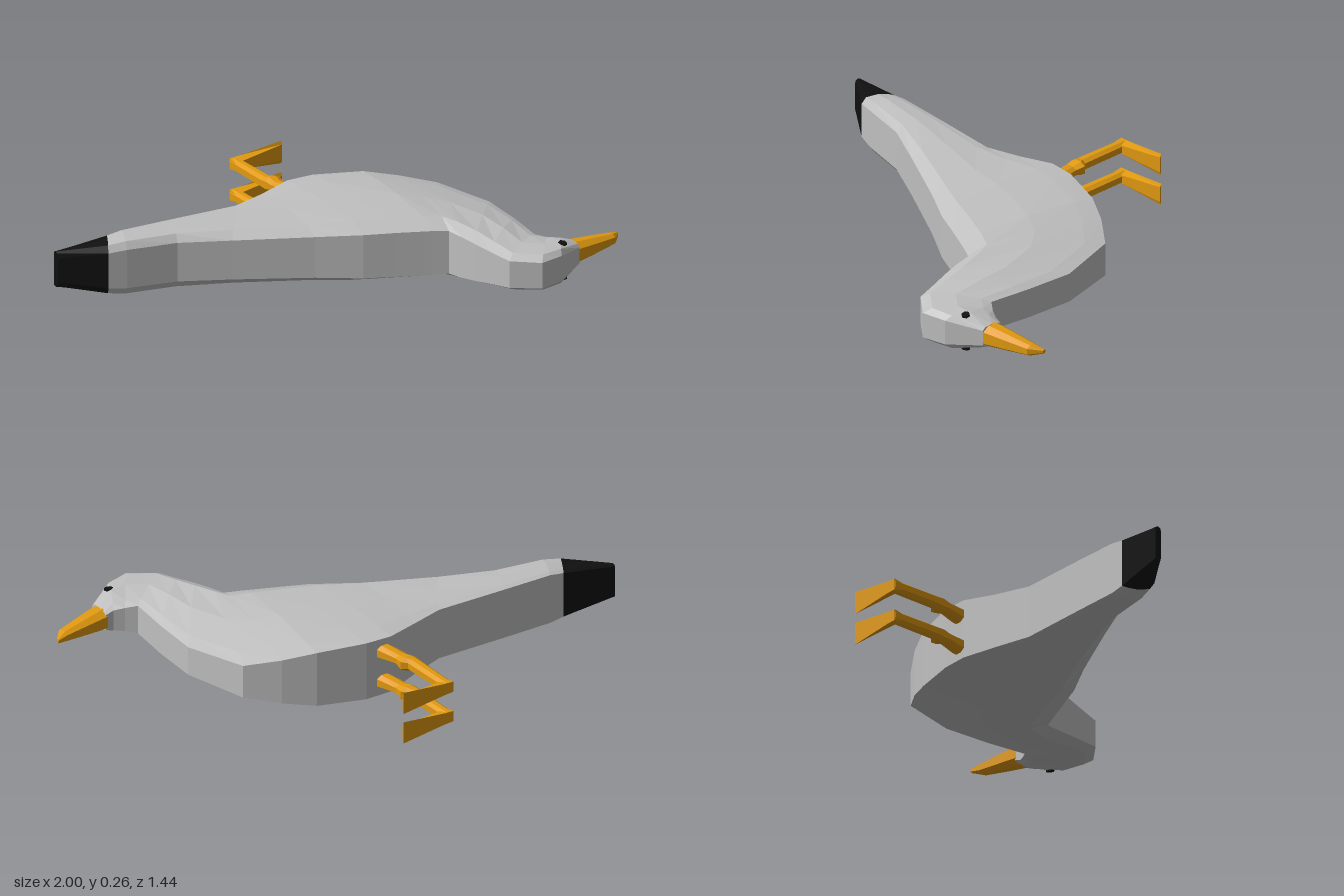
import * as THREE from 'three';

const MID = 0.135; // height of the bird's plane of symmetry (it lies on its side)

const mat = (name, color) => {
  const m = new THREE.MeshStandardMaterial({ color, flatShading: true });
  m.name = name;
  return m;
};

// Half cross-section: [position from belly edge to back edge, width factor]
const bodySection = (f) => [[0, f], [0.14, (f + 1) / 2], [0.5, 1], [0.86, 0.93], [1, 0.68]];
const limbSection = () => [[0, 0.55], [0.3, 1], [0.7, 1], [1, 0.55]];
const footSection = () => [[0, 1], [1, 0.7]];

// Skin over rings [bellyX, bellyZ, backX, backZ, halfWidth, bellyFactor], with flat end caps
function loft(rings, section, y = MID, narrow = () => 1) {
  const loops = rings.map(([bx, bz, kx, kz, w, f = 0.9]) => {
    const half = section(f).map(([t, s]) => {
      const x = bx + (kx - bx) * t;
      return [x, Math.min(w, narrow(x)) * s, bz + (kz - bz) * t];
    });
    const upper = half.map(([x, h, z]) => [x, y + h, z]);
    const lower = half.map(([x, h, z]) => [x, y - h, z]).reverse();
    return [...upper, ...lower];
  });
  const pos = [];
  const tri = (...p) => p.forEach((v) => pos.push(...v));
  const n = loops[0].length;
  for (let i = 0; i < loops.length - 1; i++) {
    for (let j = 0; j < n; j++) {
      const k = (j + 1) % n;
      const [a, b] = [loops[i], loops[i + 1]];
      tri(a[j], a[k], b[k]);
      tri(a[j], b[k], b[j]);
    }
  }
  const first = loops[0], last = loops[loops.length - 1];
  for (let j = 1; j < n - 1; j++) {
    tri(first[0], first[j + 1], first[j]);
    tri(last[0], last[j], last[j + 1]);
  }
  const g = new THREE.BufferGeometry();
  g.setAttribute('position', new THREE.Float32BufferAttribute(pos, 3));
  g.computeVertexNormals();
  return g;
}

export function createModel() {
  const bird = new THREE.Group();
  bird.name = 'bird';
  const grey = mat('greyFeathers', 0xc0c0c0);
  const black = mat('black', 0x101010);
  const orange = mat('orange', 0xe29a10);
  const add = (name, geometry, material) => {
    const m = new THREE.Mesh(geometry, material);
    m.name = name;
    bird.add(m);
    return m;
  };

  // Tail tip and the ring it shares with the body
  const tailRing = [-0.78, -0.29, -0.84, -0.18, 0.105];
  add('tailTip', loft([[-1, -0.315, -1, -0.285, 0.072], tailRing], bodySection), black);

  // Body, neck and head in one skin; the breast and neck narrow toward +x
  const narrow = (x) => 0.132 - 0.15 * Math.max(0, x - 0.33);
  add('body', loft([
    tailRing,
    [-0.72, -0.288, -0.77, -0.16, 0.115],
    [-0.52, -0.282, -0.57, -0.12, 0.116],
    [-0.22, -0.27, -0.38, -0.03, 0.117],
    [-0.08, -0.31, -0.1, 0.11, 0.122],
    [0.06, -0.355, 0.06, 0.2, 0.13, 0.92],
    [0.17, -0.35, 0.18, 0.25, 0.132, 0.92],
    [0.36, -0.295, 0.3, 0.302, 0.132, 0.9],
    [0.48, -0.235, 0.36, 0.33, 0.13, 0.85],
    [0.6, -0.15, 0.375, 0.4, 0.122, 0.75],
    [0.68, 0.1, 0.392, 0.47, 0.11, 0.75],
    [0.672, 0.3, 0.415, 0.55, 0.095, 0.75],
    [0.655, 0.47, 0.44, 0.64, 0.08, 0.75],
    [0.695, 0.498, 0.54, 0.715, 0.077, 0.65],
    [0.735, 0.518, 0.64, 0.69, 0.075, 0.6],
    [0.768, 0.52, 0.768, 0.612, 0.046, 0.7],
  ], bodySection, MID, narrow), grey);

  // Beak with a hooked tip
  add('beak', loft([
    [0.76, 0.518, 0.76, 0.612, 0.045],
    [0.86, 0.511, 0.86, 0.585, 0.034],
    [0.955, 0.505, 0.96, 0.556, 0.022],
    [1, 0.5, 1, 0.512, 0.008],
  ], limbSection), orange);

  for (const side of [1, -1]) {
    const label = side > 0 ? 'upper' : 'lower';
    const y = MID + side * 0.064;

    // Eye: a thin disc on the side of the head
    const eye = add(label + 'Eye', new THREE.CylinderGeometry(0.017, 0.017, 0.009, 6), black);
    eye.position.set(0.684, MID + side * 0.071, 0.625);
    eye.rotation.x = side * 0.2;

    // Leg with a knobbly joint
    add(label + 'Leg', loft([
      [0.06, -0.31, 0.135, -0.31, 0.028],
      [0.058, -0.355, 0.122, -0.355, 0.028],
      [0.04, -0.44, 0.097, -0.44, 0.019],
      [0.033, -0.475, 0.103, -0.48, 0.028],
      [0.03, -0.5, 0.082, -0.5, 0.023],
      [0.028, -0.725, 0.072, -0.725, 0.023],
    ], limbSection, y), orange);

    // Webbed foot widening toward the toes
    add(label + 'Foot', loft([
      [0.03, -0.727, 0.03, -0.69, 0.022],
      [0.075, -0.727, 0.075, -0.692, 0.025],
      [0.26, -0.727, 0.26, -0.722, 0.046],
    ], footSection, y), orange);
  }
  return bird;
}
